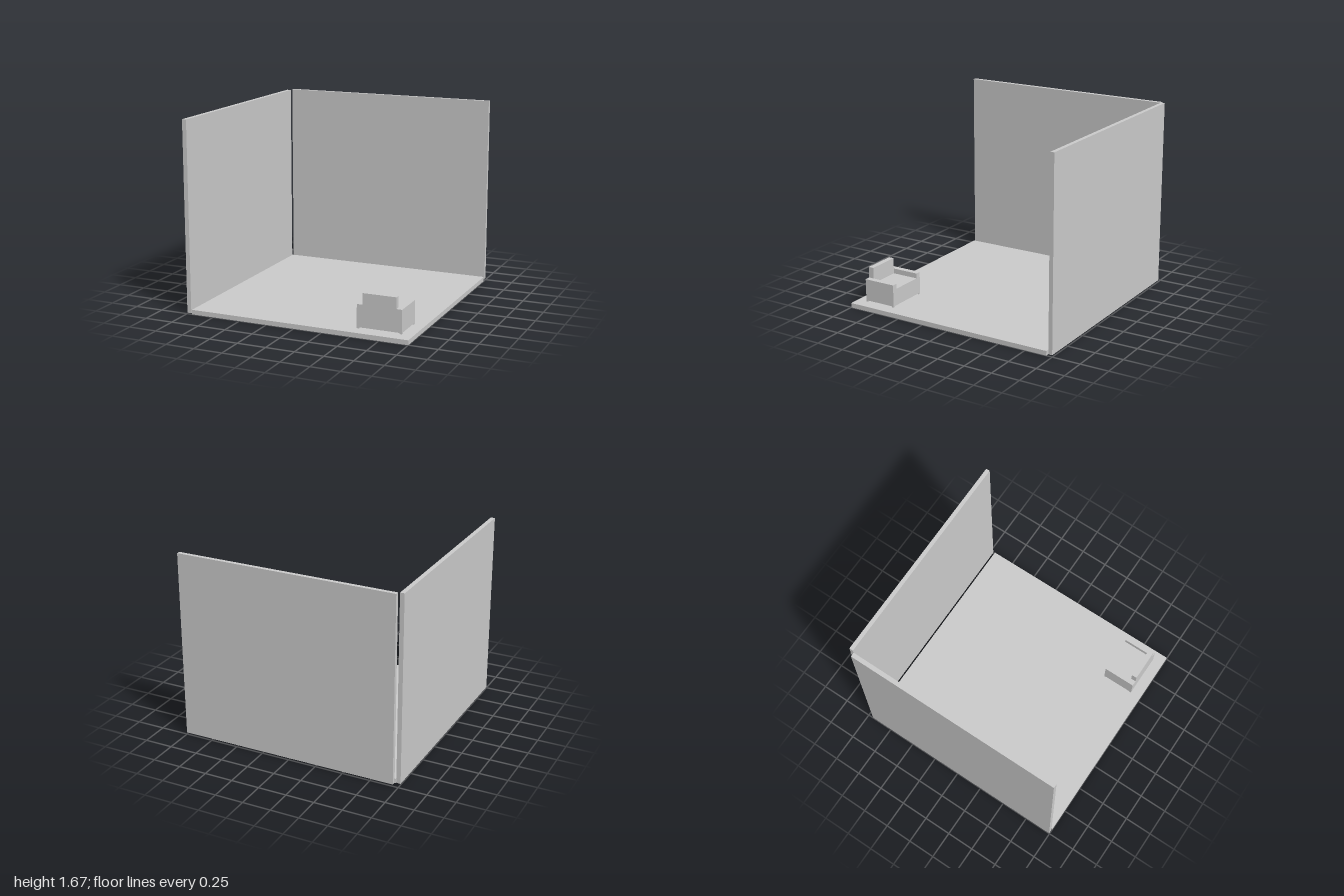
import * as THREE from 'three';

export function createModel() {
  const group = new THREE.Group();
  const grey = new THREE.MeshStandardMaterial({ color: 0xcccccc });
  grey.name = 'plain grey';

  // Box given by its minimum and maximum corners
  const box = (parent, name, [x0, y0, z0], [x1, y1, z1]) => {
    const mesh = new THREE.Mesh(new THREE.BoxGeometry(x1 - x0, y1 - y0, z1 - z0), grey);
    mesh.position.set((x0 + x1) / 2, (y0 + y1) / 2, (z0 + z1) / 2);
    mesh.name = name;
    parent.add(mesh);
  };

  // Room: floor slab and two walls with small gaps between them
  box(group, 'floor', [-0.953, 0, -0.946], [1, 0.04, 1]);
  box(group, 'sideWall', [-1, 0.008, -0.951], [-0.962, 1.663, 0.996]);
  box(group, 'backWall', [-0.953, 0.016, -1], [1, 1.668, -0.965]);

  // Armchair, facing the back wall
  const chair = new THREE.Group();
  chair.name = 'armchair';
  group.add(chair);
  const [left, right, front, rear] = [0.909, 0.519, 0.612, 0.904];
  const [innerLeft, innerRight] = [0.86, 0.568];
  const bottom = 0.056;
  box(chair, 'rightArm', [right, bottom, front], [innerRight, 0.25, rear]);
  box(chair, 'leftArm', [innerLeft, bottom, front], [left, 0.25, rear]);
  box(chair, 'backrest', [innerRight, bottom, 0.856], [innerLeft, 0.347, rear]);
  box(chair, 'seatBase', [innerRight, bottom, front], [innerLeft, 0.125, 0.856]);
  box(chair, 'seatCushion', [innerRight, 0.125, front], [innerLeft, 0.205, 0.856]);

  // Short feet under the four corners
  const foot = 0.02;
  for (const x of [right, left - foot])
    for (const z of [front, rear - foot])
      box(chair, 'foot', [x, 0.046, z], [x + foot, bottom, z + foot]);

  return group;
}
